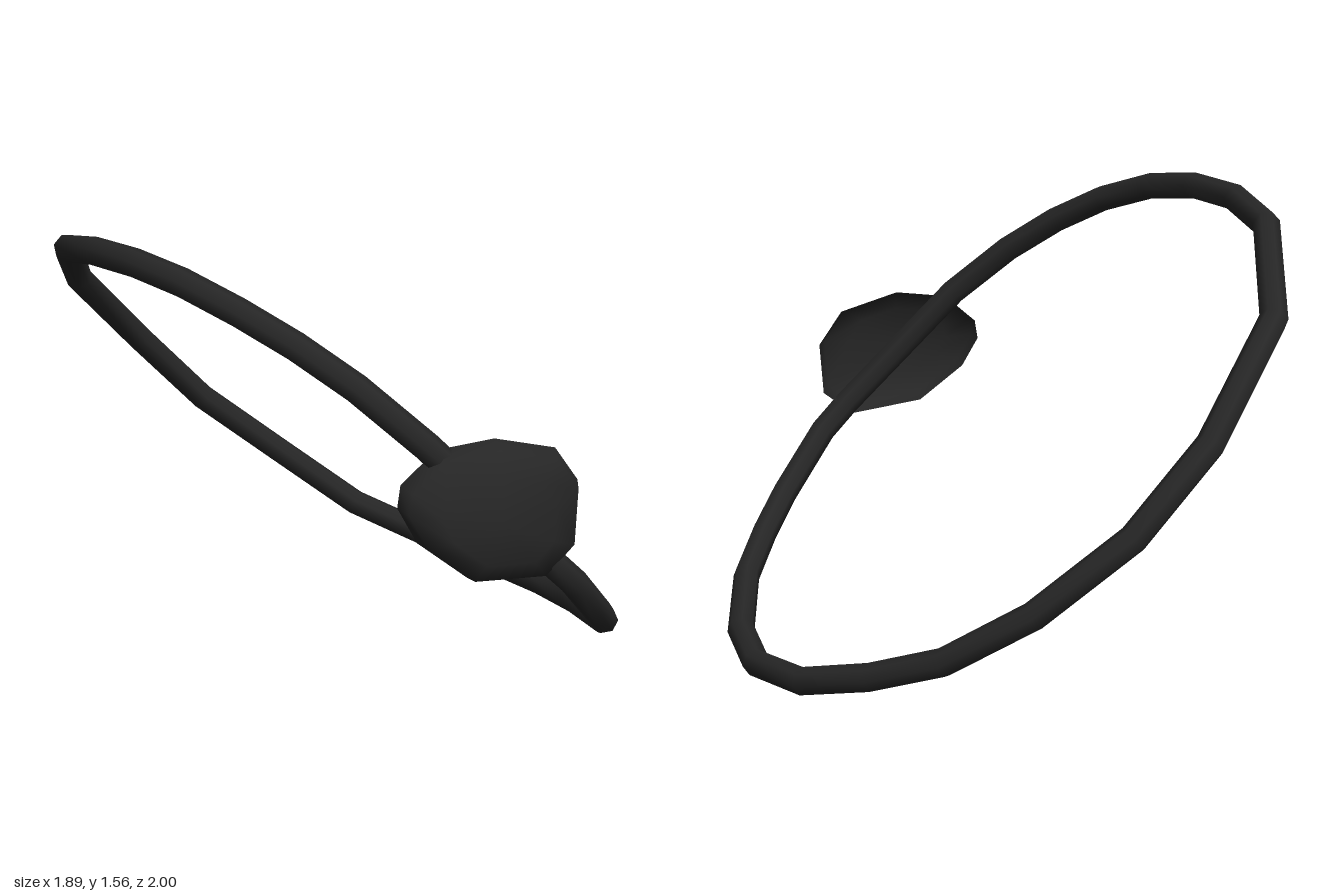
import * as THREE from 'three';

const v = (p) => new THREE.Vector3(...p);

// Centre line of the tilted head strap, one point per bend
const STRAP = [
  [0.21, 1.045, 0.89], [0, 1.22, 0.85], [-0.18, 1.34, 0.8], [-0.35, 1.43, 0.73],
  [-0.52, 1.495, 0.61], [-0.67, 1.52, 0.45], [-0.81, 1.51, 0.24], [-0.9, 1.46, 0],
  [-0.9, 1.24, -0.48], [-0.7, 0.92, -0.8], [-0.47, 0.65, -0.91], [-0.17, 0.41, -0.95],
  [0.11, 0.225, -0.87], [0.35, 0.135, -0.78], [0.58, 0.07, -0.66], [0.77, 0.05, -0.45],
  [0.86, 0.075, -0.21], [0.9, 0.15, 0.15], [0.87, 0.24, 0.36], [0.82, 0.34, 0.54],
  [0.7, 0.53, 0.74], [0.61, 0.63, 0.8],
];

// Outline of the open back of the eye patch
const RIM = [
  [0.24, 1.03, 0.87], [0.42, 1.05, 0.83], [0.62, 0.99, 0.75], [0.7, 0.87, 0.71],
  [0.69, 0.68, 0.73], [0.59, 0.59, 0.78], [0.34, 0.62, 0.89], [0.18, 0.75, 0.92],
  [0.12, 0.86, 0.91], [0.13, 0.93, 0.9],
];

// Closed tube with its rings exactly at the bends
function strapGeometry() {
  const curve = new THREE.CatmullRomCurve3(STRAP.map(v), true);
  curve.getPointAt = curve.getPoint;
  curve.getTangentAt = curve.getTangent;
  return new THREE.TubeGeometry(curve, STRAP.length, 0.047, 7, true);
}

// Hollow dome: the rim shrinks and moves forward ring by ring
function patchGeometry() {
  const centre = v([0.42, 0.82, 0.84]);
  const out = v([0.15, 0, 0.99]);
  const rings = [[1, 0], [0.93, 0.07], [0.62, 0.12], [0, 0.13]];
  const n = RIM.length;
  const pos = [], index = [];
  for (const [scale, lift] of rings) {
    for (const p of RIM) {
      const q = centre.clone().lerp(v(p), scale).addScaledVector(out, lift);
      pos.push(q.x, q.y, q.z);
      if (scale === 0) break;
    }
  }
  // The rim runs clockwise from the front
  for (let r = 0; r < rings.length - 1; r++) {
    for (let i = 0; i < n; i++) {
      const a = r * n + i, b = r * n + (i + 1) % n;
      if (r === rings.length - 2) index.push(b, a, (r + 1) * n);
      else index.push(b, a, a + n, b, a + n, b + n);
    }
  }
  const g = new THREE.BufferGeometry();
  g.setAttribute('position', new THREE.Float32BufferAttribute(pos, 3));
  g.setIndex(index);
  g.computeVertexNormals();
  return g;
}

export function createModel() {
  const group = new THREE.Group();
  group.name = 'eyePatch';
  const black = new THREE.MeshStandardMaterial({ color: 0x262626, side: THREE.DoubleSide });
  black.name = 'black';

  const strap = new THREE.Mesh(strapGeometry(), black);
  strap.name = 'strap';
  const patch = new THREE.Mesh(patchGeometry(), black);
  patch.name = 'patch';
  group.add(strap, patch);
  return group;
}
